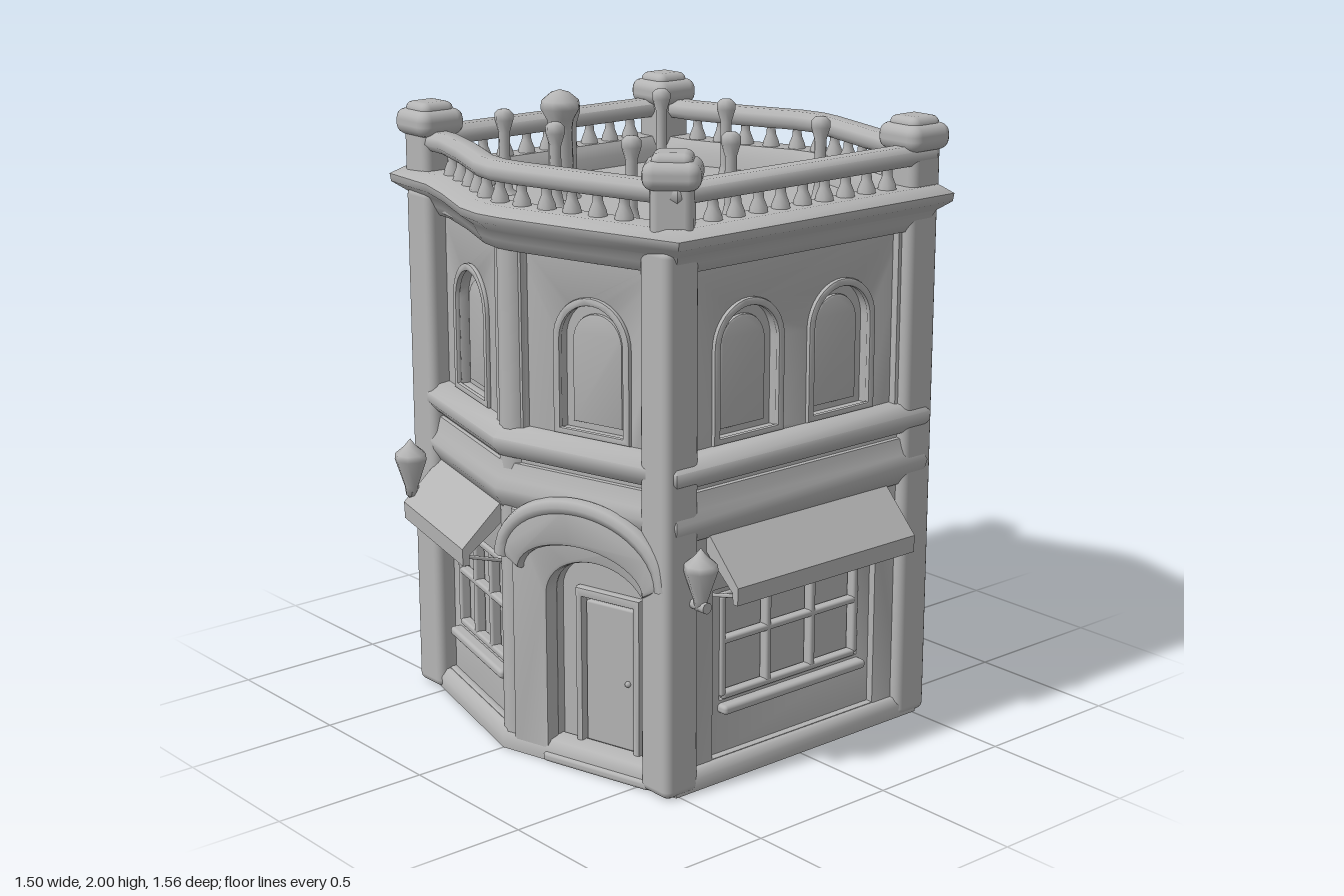
import * as THREE from 'three';
import { toCreasedNormals } from 'three/addons/utils/BufferGeometryUtils.js';
import { RoundedBoxGeometry } from 'three/addons/geometries/RoundedBoxGeometry.js';

const plaster = new THREE.MeshStandardMaterial({ color: 0xb4b4b4 });
plaster.name = 'grey plaster';

// wall corners in plan (x, z), running from the front left round to the back left
const HEX = [[-0.61, 0.49], [0, 0.65], [0.61, 0.49], [0.61, -0.49], [0, -0.65], [-0.61, -0.49]];
// softer front line used by the cornice and balustrade
const WAVE = [[-0.61, 0.49], [-0.45, 0.505], [-0.28, 0.56], [-0.08, 0.64], [0, 0.652], [0.08, 0.64], [0.3, 0.58], [0.61, 0.49]];
const WAVY = [...WAVE, ...WAVE.map(([x, z]) => [x, -z]).reverse()];

function add(parent, name, geometry, x = 0, y = 0, z = 0) {
  const mesh = new THREE.Mesh(geometry, plaster);
  mesh.name = name;
  mesh.position.set(x, y, z);
  parent.add(mesh);
  return mesh;
}
const box = (w, h, d, r = 0.012) => new RoundedBoxGeometry(w, h, d, 2, r);
const lathe = (pts, n = 14) => new THREE.LatheGeometry(pts.map(p => new THREE.Vector2(...p)), n);

// plan offset outwards with mitred corners
function offsetPlan(plan, o) {
  const n = plan.length;
  const normal = i => {
    const a = plan[i % n], b = plan[(i + 1) % n];
    const l = Math.hypot(b[0] - a[0], b[1] - a[1]);
    return [(a[1] - b[1]) / l, (b[0] - a[0]) / l];
  };
  return plan.map((p, i) => {
    const u = normal(i + n - 1), v = normal(i);
    const k = o / (1 + u[0] * v[0] + u[1] * v[1]);
    return [p[0] + (u[0] + v[0]) * k, p[1] + (u[1] + v[1]) * k];
  });
}

// closed moulding profile of (offset, y) points swept round a plan
function moulding(plan, profile) {
  const n = plan.length, m = profile.length, pos = [], idx = [];
  for (const [o, y] of profile) for (const [x, z] of offsetPlan(plan, o)) pos.push(x, y, z);
  for (let j = 0; j < m; j++) for (let i = 0; i < n; i++) {
    const i2 = (i + 1) % n, j2 = (j + 1) % m;
    const a = j * n + i, b = j * n + i2, c = j2 * n + i2, d = j2 * n + i;
    idx.push(a, b, c, a, c, d);
  }
  const g = new THREE.BufferGeometry();
  g.setAttribute('position', new THREE.Float32BufferAttribute(pos, 3));
  g.setIndex(idx);
  return toCreasedNormals(g, 0.9);
}

function rect(C, x0, y0, x1, y1) {
  const p = new C();
  p.moveTo(x0, y0); p.lineTo(x1, y0); p.lineTo(x1, y1); p.lineTo(x0, y1); p.closePath();
  return p;
}
function arch(C, cx, hw, y0, y1, r = hw) {
  const p = new C();
  p.moveTo(cx - hw, y0); p.lineTo(cx + hw, y0); p.lineTo(cx + hw, y1 - r);
  p.absellipse(cx, y1 - r, hw, r, 0, Math.PI, false);
  p.closePath();
  return p;
}
// softly bevelled sheet lying between z0 and z1
function sheet(shape, holes, z0, z1, b = 0.008) {
  shape.holes = holes;
  const g = new THREE.ExtrudeGeometry(shape, { depth: z1 - z0 - 2 * b, bevelEnabled: true, bevelThickness: b,
    bevelSize: b, bevelOffset: -b, bevelSegments: 2, curveSegments: 10 });
  return toCreasedNormals(g.translate(0, 0, z0 + b), 0.6);
}

// shop window bars and sill
function panes(g, cx, w, y0, y1, cols, sill = true) {
  for (let i = 0; i <= cols; i++)
    add(g, 'windowBar', box(0.022, y1 - y0, 0.035, 0.008), cx - w / 2 + i * w / cols, (y0 + y1) / 2, -0.038);
  for (const y of [y0, y0 + (y1 - y0) * 0.55, y1])
    add(g, 'windowBar', box(w, 0.022, 0.035, 0.008), cx, y, -0.038);
  if (sill) add(g, 'windowSill', box(w + 0.04, 0.03, 0.05), cx, 0.215, -0.015);
}

function awning(g, cx, w) {
  const s = new THREE.Shape([[0, 0.81], [-0.01, 0.75], [0.115, 0.645], [0.118, 0.61], [0.138, 0.61], [0.14, 0.665]]
    .map(p => new THREE.Vector2(...p)));
  const geo = new THREE.ExtrudeGeometry(s, { depth: w, bevelEnabled: false });
  add(g, 'awning', geo.rotateY(-Math.PI / 2), cx + w / 2, 0, 0);
  for (const e of [-1, 1])
    add(g, 'awningBracket', box(0.012, 0.012, 0.14, 0.004), cx + e * (w / 2 - 0.03), 0.615, 0.06).rotation.x = -0.25;
}

function archedWindow(g, cx) {
  add(g, 'windowSurround', sheet(arch(THREE.Shape, cx, 0.14, 1.055, 1.485), [arch(THREE.Path, cx, 0.115, 1.075, 1.46)], -0.03, -0.012, 0.006));
  add(g, 'windowPanel', sheet(arch(THREE.Shape, cx, 0.09, 1.09, 1.43), [], -0.062, -0.046, 0.006));
}

// one wall: raised frame, sunken panel with openings, and fittings
function wall(parent, i, kind, s) {
  const a = HEX[i], b = HEX[(i + 1) % 6], dx = b[0] - a[0], dz = b[1] - a[1];
  const L = Math.hypot(dx, dz) / 2;
  const g = new THREE.Group();
  g.name = kind + 'Wall';
  g.position.set((a[0] + b[0]) / 2, 0, (a[1] + b[1]) / 2);
  g.rotation.y = Math.atan2(-dz, dx);
  parent.add(g);

  const side = kind === 'side', bay = kind === 'door' || kind === 'bayWindow';
  const cx = side ? 0 : 0.04 * s, hw = side ? 0.29 : 0.21;
  const up = side ? 0.41 : 0.245, xs = side ? [-0.19, 0.19] : [0];
  const bayHalf = kind === 'door' ? 0.185 : 0.14, bayFoot = kind === 'door' ? 0.03 : 0.2;
  const opening = C => arch(C, cx, bayHalf, bayFoot, 0.68, 0.13);

  const low = bay ? opening(THREE.Path) : rect(THREE.Path, cx - hw - 0.05, 0.07, cx + hw + 0.05, 0.61);
  add(g, 'wallFrame', sheet(rect(THREE.Shape, -L, 0, L, 1.66), [low, rect(THREE.Path, -up, 1.04, up, 1.61)], -0.03, 0));
  const gap = bay ? opening(THREE.Path) : rect(THREE.Path, cx - hw, 0.24, cx + hw, 0.585);
  add(g, 'wallPanel', sheet(rect(THREE.Shape, -L, 0, L, 1.66),
    [gap, ...xs.map(x => arch(THREE.Path, x, 0.12, 1.07, 1.465))], -0.065, -0.026));
  xs.forEach(x => archedWindow(g, x));

  if (!bay) {
    panes(g, cx, hw * 2 - 0.02, 0.25, 0.575, 3);
    awning(g, side ? 0 : 0.035 * s, side ? 0.74 : 0.52);
    return;
  }
  // projecting bay with an arched hood
  add(g, 'bayFront', sheet(rect(THREE.Shape, -0.28, 0, 0.28, 0.8), [opening(THREE.Path)], -0.02, 0.028, 0.012));
  const hood = new THREE.Shape();
  hood.absellipse(0, 0.66, 0.3, 0.21, 0, Math.PI, false);
  hood.lineTo(-0.23, 0.62);
  hood.absellipse(0, 0.62, 0.23, 0.11, Math.PI, 0, true);
  hood.lineTo(0.3, 0.66);
  add(g, 'bayHood', sheet(hood, [], 0, 0.06, 0.018));
  const pts = [];
  for (let k = 0; k <= 12; k++) {
    const t = Math.PI * k / 12;
    pts.push(new THREE.Vector3(-0.3 * Math.cos(t), 0.655 + 0.2 * Math.sin(t), 0.04));
  }
  add(g, 'hoodMoulding', new THREE.TubeGeometry(new THREE.CatmullRomCurve3(pts), 24, 0.028, 8));
  if (kind === 'door') {
    add(g, 'door', sheet(rect(THREE.Shape, cx - 0.12, 0.03, cx + 0.12, 0.57), [rect(THREE.Path, cx - 0.095, 0.06, cx + 0.095, 0.54)], -0.065, -0.03));
    add(g, 'doorLeaf', box(0.18, 0.46, 0.02, 0.008), cx, 0.3, -0.055);
    add(g, 'doorKnob', new THREE.SphereGeometry(0.01, 8, 6), cx + 0.07, 0.29, -0.042);
    add(g, 'doorStep', box(0.4, 0.03, 0.1), cx, 0.015, -0.01);
  } else panes(g, cx, 0.24, 0.23, 0.6, 2, false);
}

// wall lamp with a bracket towards the wall
function lamp(parent, x, y, z, bx, bz) {
  const g = new THREE.Group();
  g.name = 'wallLamp';
  g.position.set(x, y, z);
  parent.add(g);
  add(g, 'lantern', lathe([[0, -0.1], [0.018, -0.09], [0.022, -0.06], [0.052, 0.03], [0.05, 0.05], [0.02, 0.075], [0, 0.1]], 8));
  const arm = add(g, 'lampBracket', new THREE.CylinderGeometry(0.014, 0.018, 0.13, 8), bx / 2, -0.08, bz / 2);
  arm.quaternion.setFromUnitVectors(new THREE.Vector3(0, 1, 0), new THREE.Vector3(bx, 0, bz).normalize());
}

// front line of the balustrade at a given x
function frontZ(x) {
  const i = WAVE.findIndex((p, k) => k > 0 && p[0] >= x), a = WAVE[i - 1], b = WAVE[i];
  return a[1] + (b[1] - a[1]) * (x - a[0]) / (b[0] - a[0]);
}

export function createModel() {
  const model = new THREE.Group();
  model.name = 'cornerShop';

  // solid core, whose top is the roof deck
  const core = new THREE.Shape(offsetPlan(HEX, -0.06).map(([x, z]) => new THREE.Vector2(x, -z)));
  add(model, 'coreAndRoofDeck', new THREE.ExtrudeGeometry(core, { depth: 1.66, bevelEnabled: false }).rotateX(-Math.PI / 2));

  ['shop', 'door', 'side', 'bayWindow', 'shop', 'side'].forEach((kind, i) => wall(model, i, kind, i < 3 ? 1 : -1));

  // horizontal mouldings
  add(model, 'plinth', moulding(HEX, [[-0.05, 0], [0.028, 0], [0.03, 0.04], [0.012, 0.065], [-0.05, 0.07]]));
  add(model, 'shopBelt', moulding(HEX, [[-0.05, 0.78], [0.01, 0.79], [0.035, 0.83], [0.042, 0.86], [0.025, 0.89], [0.012, 0.94], [-0.05, 0.95]]));
  add(model, 'sillBelt', moulding(HEX, [[-0.05, 0.94], [0.02, 0.96], [0.045, 0.99], [0.045, 1.02], [0.012, 1.05], [-0.05, 1.055]]));
  add(model, 'cornice', moulding(WAVY, [[-0.06, 1.58], [0.012, 1.6], [0.03, 1.63], [0.045, 1.66], [0.085, 1.69], [0.088, 1.715],
    [0.05, 1.74], [-0.035, 1.74], [-0.06, 1.7]]));
  add(model, 'balustradeRail', moulding(WAVY, [[-0.03, 1.805], [0.03, 1.805], [0.046, 1.825], [0.042, 1.85], [0.02, 1.865], [-0.02, 1.865],
    [-0.042, 1.85], [-0.046, 1.825]]));

  // corner pilasters and parapet posts
  for (const x of [-1, 1]) for (const z of [-1, 1]) {
    add(model, 'cornerPilaster', box(0.13, 1.68, 0.13, 0.025), x * 0.578, 0.84, z * 0.488);
    const post = new THREE.Group();
    post.name = 'parapetPost';
    post.position.set(x * 0.59, 0, z * 0.485);
    if (x > 0 && z > 0) post.rotation.y = Math.PI / 4;
    model.add(post);
    add(post, 'postShaft', box(0.125, 0.2, 0.125, 0.025), 0, 1.79, 0);
    add(post, 'postCap', box(0.17, 0.085, 0.17, 0.035), 0, 1.888, 0);
    add(post, 'postTop', box(0.12, 0.06, 0.12, 0.025), 0, 1.922, 0);
  }
  for (const z of [-1, 1])
    add(model, 'ridgePilaster', new THREE.CylinderGeometry(0.055, 0.06, 1.66, 12), 0.01, 0.83, z * 0.608);

  // balusters
  const baluster = lathe([[0.03, 0], [0.026, 0.025], [0.016, 0.05], [0.014, 0.075], [0.022, 0.09]], 8);
  for (let i = -5; i <= 5; i++) for (const s of [-1, 1]) {
    const x = i * 0.088;
    add(model, 'baluster', baluster, x, 1.73, s * frontZ(x));
    if (Math.abs(i) < 5) add(model, 'baluster', baluster, s * 0.61, 1.73, x);
  }

  // small posts on the roof deck
  const stick = lathe([[0.05, 0], [0.026, 0.02], [0.018, 0.06], [0.018, 0.2], [0.03, 0.24], [0.03, 0.26], [0.018, 0.272], [0, 0.275]], 8);
  for (const [x, z] of [[-0.42, -0.33], [-0.12, -0.35], [0.33, -0.34], [-0.41, 0.06], [0.36, 0.06], [-0.42, 0.32], [-0.12, 0.35], [0.22, 0.33]])
    add(model, 'roofPost', stick, x, 1.655, z);
  add(model, 'chimney', lathe([[0.07, 0], [0.042, 0.03], [0.038, 0.22], [0.042, 0.25], [0.062, 0.285], [0.06, 0.31], [0.03, 0.335], [0, 0.345]], 12), -0.26, 1.655, 0.22);

  lamp(model, -0.54, 0.78, 0.63, 0, -0.11);
  lamp(model, -0.54, 0.78, -0.63, 0, 0.11);
  lamp(model, 0.675, 0.69, 0.45, -0.07, 0);
  return model;
}
